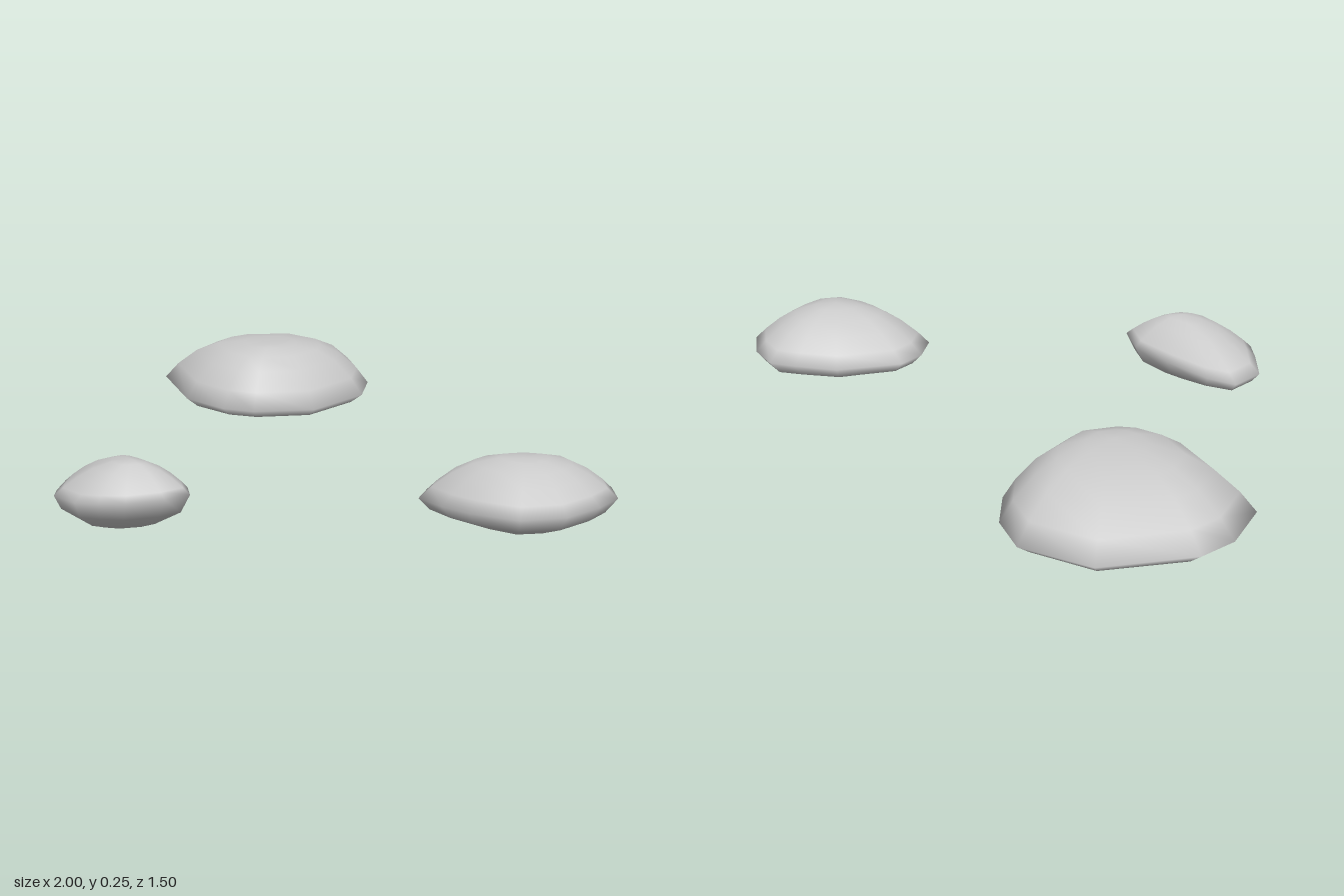
import * as THREE from 'three';

const { lerp, mapLinear } = THREE.MathUtils;
const material = new THREE.MeshStandardMaterial({ color: 0xcccccc });

// Ring sizes from the underside up to the rim, then from the rim to the crown
const lowerSizes = [0.55, 0.88];
const upperSizes = [1, 0.88, 0.7, 0.5, 0.25];

// A stone is a rim outline in plan [x, z], narrowing to a base point below and a
// crown point above. The rim rises from rimLow at its -x end to rimHigh at +x.
// A larger fullness gives a flatter crown with steeper sides.
function createStone(name, outline, { rimLow, rimHigh, base, crown, fullness }) {
  const n = outline.length;
  const xs = outline.map(([x]) => x);
  const xMin = Math.min(...xs);
  const xMax = Math.max(...xs);
  const positions = [];
  const indices = [];

  const addRing = (size, [tipX, tipY, tipZ], power) => {
    for (const [x, z] of outline) {
      const rimY = mapLinear(x, xMin, xMax, rimLow, rimHigh);
      positions.push(lerp(tipX, x, size), lerp(tipY, rimY, size ** power), lerp(tipZ, z, size));
    }
  };
  lowerSizes.forEach((size) => addRing(size, base, 6));
  upperSizes.forEach((size) => addRing(size, crown, fullness));
  positions.push(...base, ...crown);

  // Side bands and the two caps
  const last = (lowerSizes.length + upperSizes.length - 1) * n;
  const baseIndex = last + n;
  for (let i = 0; i < n; i++) {
    const j = (i + 1) % n;
    for (let row = 0; row < last; row += n) {
      const a = row + i;
      const b = row + j;
      indices.push(a, a + n, b + n, a, b + n, b);
    }
    indices.push(baseIndex, i, j, baseIndex + 1, last + j, last + i);
  }

  const geometry = new THREE.BufferGeometry();
  geometry.setAttribute('position', new THREE.Float32BufferAttribute(positions, 3));
  geometry.setIndex(indices);
  geometry.computeVertexNormals();
  const stone = new THREE.Mesh(geometry, material);
  stone.name = name;
  return stone;
}

export function createModel() {
  const group = new THREE.Group();
  group.name = 'stones';

  // Broad, flat-topped stone at the back right
  group.add(createStone('largeStone', [
    [-1, -0.47], [-0.86, -0.7], [-0.64, -0.755], [-0.5, -0.69], [-0.39, -0.58], [-0.335, -0.35],
    [-0.42, -0.18], [-0.5, -0.12], [-0.66, -0.09], [-0.92, -0.18], [-1, -0.35],
  ], { rimLow: 0.1, rimHigh: 0.085, base: [-0.62, 0.038, -0.4], crown: [-0.58, 0.25, -0.36], fullness: 3.1 }));

  // Rounded stone at the back left
  group.add(createStone('mediumStone', [
    [0.515, -0.18], [0.6, -0.36], [0.7, -0.44], [0.765, -0.485], [0.86, -0.465], [0.95, -0.4], [0.985, -0.3],
    [1, -0.17], [0.94, -0.06], [0.8, -0.01], [0.7, 0], [0.59, -0.01], [0.53, -0.09],
  ], { rimLow: 0.09, rimHigh: 0.115, base: [0.74, 0.035, -0.22], crown: [0.79, 0.222, -0.21], fullness: 2.4 }));

  // Small stone at the front, sloping down towards its right
  group.add(createStone('smallStone', [
    [-0.23, 0.495], [-0.15, 0.455], [0, 0.435], [0.13, 0.43], [0.22, 0.48], [0.22, 0.56],
    [0.18, 0.66], [0.12, 0.71], [0.06, 0.745], [-0.07, 0.735], [-0.13, 0.69], [-0.22, 0.61],
  ], { rimLow: 0.055, rimHigh: 0.1, base: [0.01, 0, 0.6], crown: [0.07, 0.18, 0.57], fullness: 1.9 }));

  return group;
}
